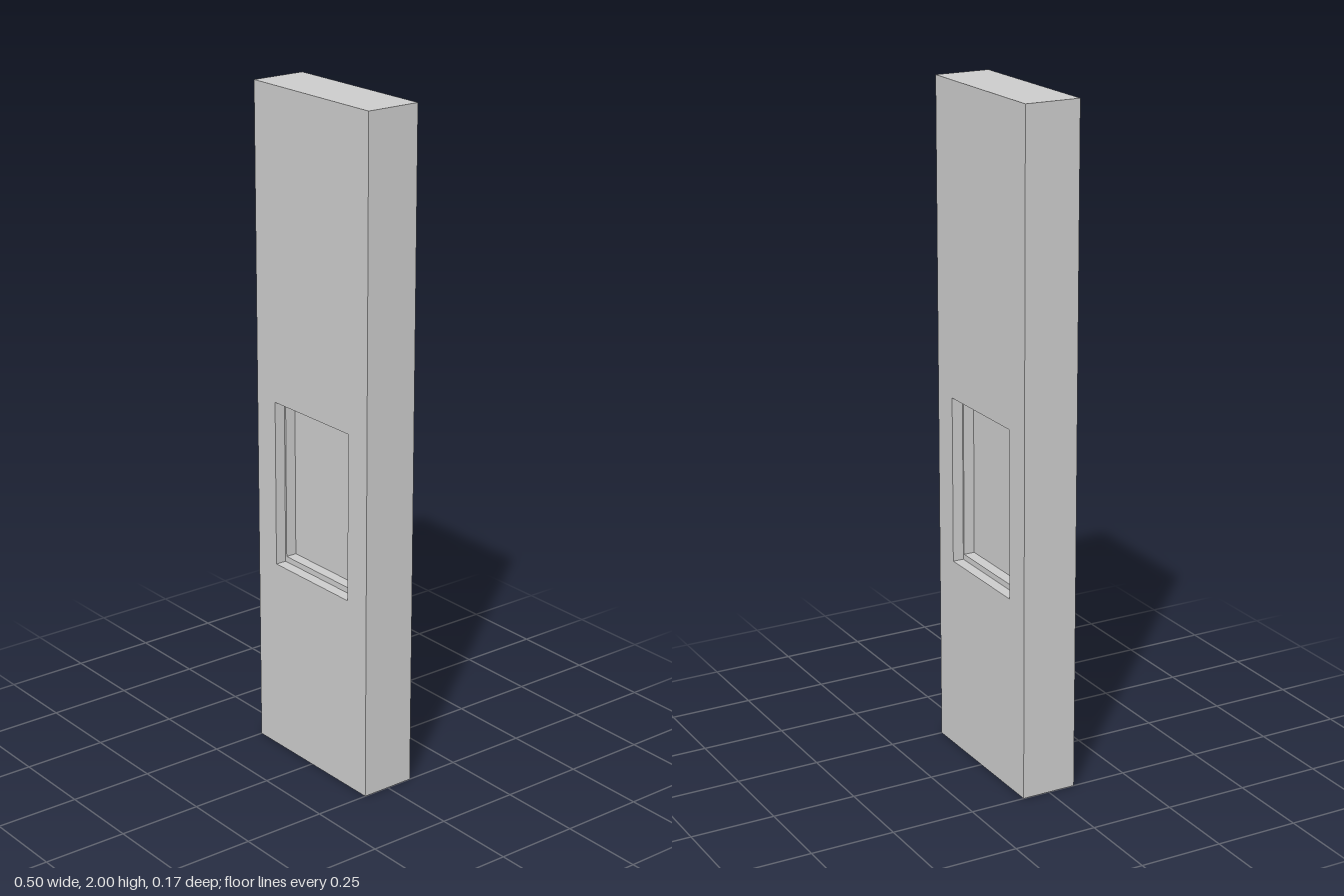
import * as THREE from 'three';

// Rectangular loop, counter-clockwise seen from the front
const rect = (halfW, y0, y1, z) => [
  [-halfW, y0, z], [halfW, y0, z], [halfW, y1, z], [-halfW, y1, z],
];

// Skin a chain of rectangular loops with flat quads
function skin(loops) {
  const pos = [];
  for (let k = 0; k < loops.length - 1; k++) {
    const a = loops[k], b = loops[k + 1];
    for (let i = 0; i < 4; i++) {
      const j = (i + 1) % 4;
      pos.push(...a[i], ...b[i], ...b[j], ...a[i], ...b[j], ...a[j]);
    }
  }
  const geo = new THREE.BufferGeometry();
  geo.setAttribute('position', new THREE.Float32BufferAttribute(pos, 3));
  geo.computeVertexNormals();
  return geo;
}

export function createModel() {
  const group = new THREE.Group();
  const material = new THREE.MeshStandardMaterial({ color: 0xcccccc, flatShading: true });
  const add = (name, geometry, parent = group) => {
    const mesh = new THREE.Mesh(geometry, material);
    mesh.name = name;
    parent.add(mesh);
    return mesh;
  };

  const faceZ = 0.0833, ledgeZ = 0.05, panelZ = 0.0167;
  const body = z => rect(0.25, 0, 2, z);
  const opening = z => rect(0.1667, 0.585, 1.085, z);
  const inner = z => rect(0.161, 0.602, 1.068, z);

  // Slab: front face, outer sides and back face around the window opening
  add('slab', skin([
    opening(ledgeZ), opening(faceZ), body(faceZ),
    body(-faceZ), opening(-faceZ), opening(-ledgeZ),
  ]));

  // Stepped frame and recessed panel, the same on both faces
  for (const side of ['front', 'back']) {
    const recess = new THREE.Group();
    recess.name = side + 'Recess';
    if (side === 'back') recess.rotation.y = Math.PI;
    add('steppedFrame', skin([inner(panelZ), inner(ledgeZ), opening(ledgeZ)]), recess);
    const panel = add('recessedPanel', new THREE.PlaneGeometry(0.322, 0.466), recess);
    panel.position.set(0, 0.835, panelZ);
    group.add(recess);
  }
  return group;
}
